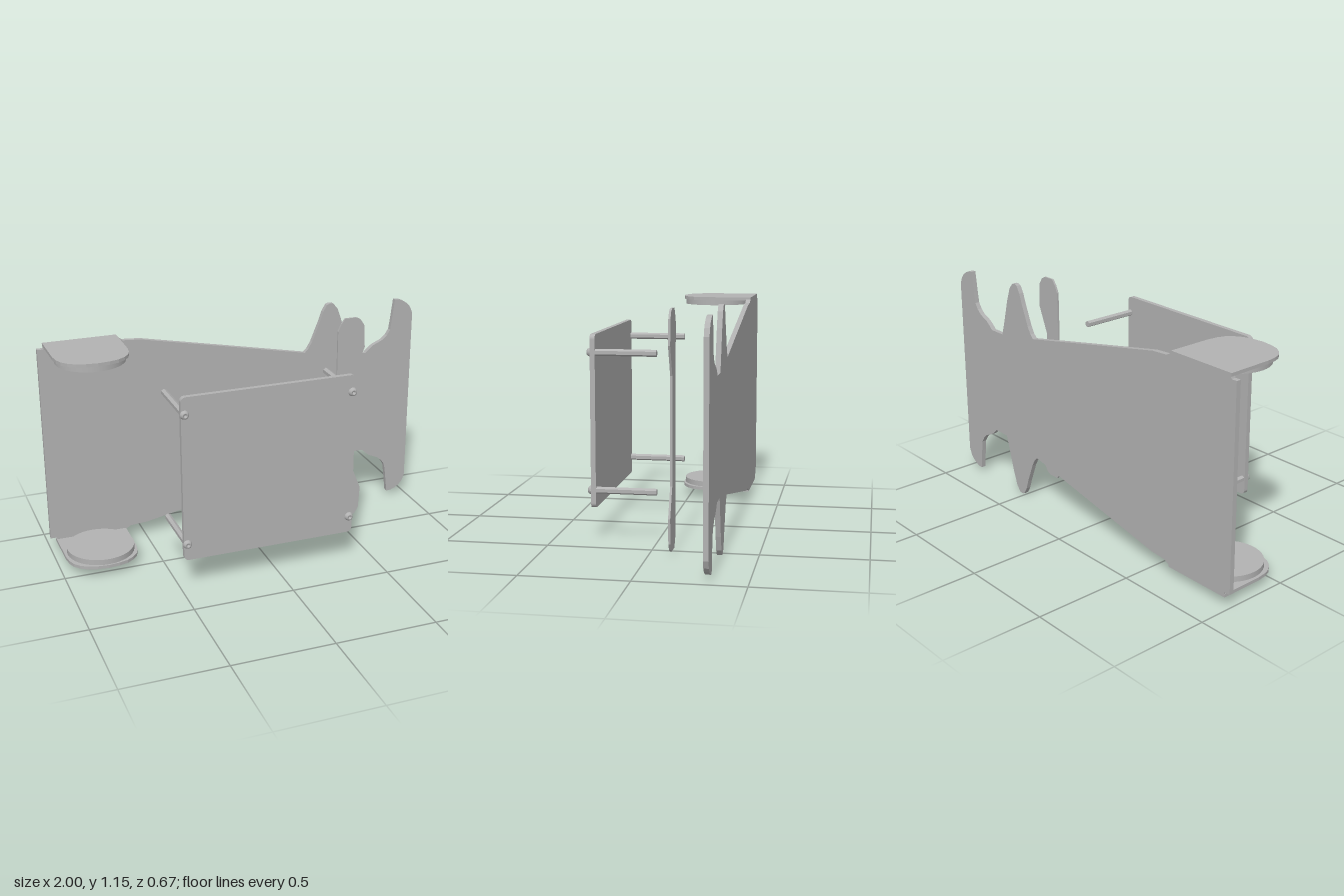
import * as THREE from 'three';

const MID = 0.573; // height of the horizontal symmetry line
const grey = new THREE.MeshStandardMaterial({ color: 0xb2b2b2 });
grey.name = 'plain grey';

// Flat plate from an outline, spanning depth z0..z1
function plate(shape, z0, z1) {
  return new THREE.ExtrudeGeometry(shape, { depth: z1 - z0, bevelEnabled: false, curveSegments: 6 })
    .translate(0, 0, z0);
}

// Closed outline from its upper half, mirrored about MID
function mirrored(top) {
  const bottom = top.map(([x, y]) => [x, 2 * MID - y]).reverse();
  return new THREE.Shape([...top, ...bottom].map(([x, y]) => new THREE.Vector2(x, y)));
}

function roundedRect(x0, y0, x1, y1, r) {
  const s = new THREE.Shape();
  s.absarc(x1 - r, y1 - r, r, 0, Math.PI / 2);
  s.absarc(x0 + r, y1 - r, r, Math.PI / 2, Math.PI);
  s.absarc(x0 + r, y0 + r, r, Math.PI, Math.PI * 1.5);
  s.absarc(x1 - r, y0 + r, r, Math.PI * 1.5, Math.PI * 2);
  s.closePath();
  return s;
}

export function createModel() {
  const model = new THREE.Group();
  model.name = 'chassis';
  const add = (geometry, name, parent = model) => {
    const mesh = new THREE.Mesh(geometry, grey);
    mesh.name = name;
    parent.add(mesh);
    return mesh;
  };

  // Long rear plate with waist and two pairs of fins
  add(plate(mirrored([
    [-1, 1.077], [-0.97, 1.077], [-0.965, 1.09], [-0.61, 1.095], [-0.58, 1.077], [-0.49, 1.071],
    [-0.07, 0.987], [0.385, 0.895], [0.405, 0.915], [0.425, 0.95], [0.468, 1.056], [0.485, 1.105],
    [0.505, 1.14], [0.52, 1.146], [0.54, 1.144], [0.565, 1.115], [0.59, 1.045], [0.615, 0.95],
    [0.643, 0.853], [0.735, 0.853], [0.755, 0.872], [0.778, 0.89], [0.83, 0.913], [0.855, 0.935],
    [0.874, 0.965], [0.882, 1.02], [0.895, 1.127], [0.92, 1.125], [0.945, 1.115], [0.967, 1.1],
    [0.985, 1.08], [1, 1.045],
  ]), -0.333, -0.309), 'rearPlate');

  // Narrow upright plate floating in front of the fins
  add(plate(mirrored([
    [0.475, 1.063], [0.492, 1.1], [0.512, 1.127], [0.575, 1.127], [0.597, 1.115], [0.618, 1.083],
    [0.625, 0.965], [0.568, 0.826],
  ]), -0.107, -0.097), 'uprightPlate');

  // Front board with rounded corners
  add(plate(roundedRect(-0.485, 0.16, 0.385, 0.988, 0.024), 0.291, 0.315), 'frontBoard');

  // Hexagonal standoffs and domed screws at the board corners
  const head = [[0.007, 0.009], [0.008, 0.0175], [0.014, 0.015], [0.019, 0.009], [0.022, 0]]
    .map(([r, h]) => new THREE.Vector2(r, h));
  const headGeo = new THREE.LatheGeometry([new THREE.Vector2(0, 0.006), ...head].reverse(), 16)
    .rotateX(Math.PI / 2);
  const postGeo = new THREE.CylinderGeometry(0.0165, 0.0165, 0.291, 6).toNonIndexed();
  postGeo.computeVertexNormals();
  postGeo.rotateX(Math.PI / 2).translate(0, 0, 0.1455);
  for (const x of [-0.468, 0.368]) {
    for (const y of [0.245, 0.903]) {
      add(postGeo, 'standoff').position.set(x, y, 0);
      add(headGeo, 'screwHead').position.set(x, y, 0.315);
    }
  }

  // Rounded brackets above and below, each with a disc on its inner face
  const half = [[0.182, 0.333], [0.18, 0.11], [0.173, 0.06], [0.16, 0.025], [0.135, -0.005],
    [0.1, -0.029], [0.055, -0.042], [0, -0.048]];
  const outline = new THREE.Shape([
    ...half, ...half.slice(0, -1).reverse().map(([x, y]) => [-x, y]),
  ].map(([x, y]) => new THREE.Vector2(x - 0.788, y)));
  for (const side of [1, -1]) {
    const bracket = new THREE.Group();
    bracket.name = side > 0 ? 'upperBracket' : 'lowerBracket';
    add(plate(outline, -0.008, 0.008).rotateX(-Math.PI / 2), 'bracketPlate', bracket)
      .position.y = MID + side * 0.522;
    add(new THREE.CylinderGeometry(0.168, 0.168, 0.028, 40), 'bracketDisc', bracket)
      .position.set(-0.786, MID + side * 0.5, -0.128);
    model.add(bracket);
  }
  return model;
}
